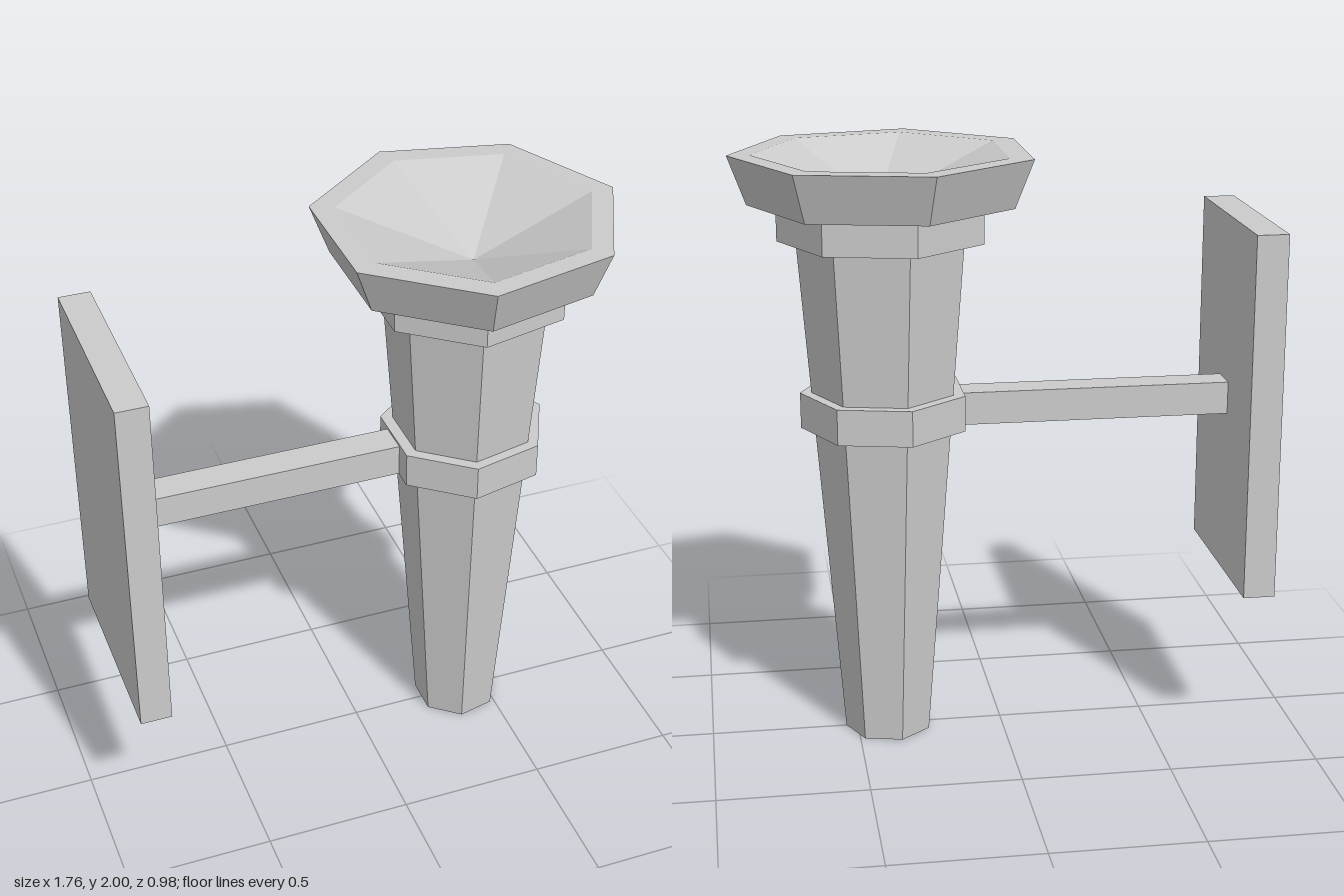
import * as THREE from 'three';

const AXIS_X = 0.399;
const SIDES = 7;

export function createModel() {
  const group = new THREE.Group();
  const material = new THREE.MeshStandardMaterial({ color: 0xcccccc, flatShading: true });

  function add(name, geometry, x, y, z) {
    const mesh = new THREE.Mesh(geometry, material);
    mesh.name = name;
    mesh.position.set(x, y, z);
    group.add(mesh);
  }

  // Seven-sided solid with a corner towards +x. Each section is centred by
  // its width, so its corners shift slightly in proportion to its radius.
  function addTurned(name, profile) {
    const points = profile.map(([r, y]) => new THREE.Vector2(r, y));
    const geometry = new THREE.LatheGeometry(points, SIDES, Math.PI / 2);
    const offset = (1 - Math.cos(Math.PI / SIDES)) / 2;
    const pos = geometry.attributes.position;
    for (let i = 0; i < pos.count; i++) {
      const r = Math.hypot(pos.getX(i), pos.getZ(i));
      pos.setX(i, pos.getX(i) - offset * r);
    }
    geometry.computeVertexNormals();
    add(name, geometry, AXIS_X, 0, 0);
  }

  // Torch body, listed from the bottom up
  addTurned('shaft', [[0, 0], [0.148, 0], [0.281, 1.72], [0, 1.72]]);
  addTurned('holderRing', [[0, 1.09], [0.281, 1.09], [0.281, 1.21], [0, 1.21]]);
  addTurned('collar', [[0, 1.72], [0.345, 1.72], [0.345, 1.84], [0.2, 1.84]]);

  // Flared cup with a flat rim and a shallow conical bowl
  addTurned('cup', [[0, 1.84], [0.442, 1.84], [0.503, 2], [0.425, 2], [0, 1.83]]);

  // Wall bracket
  add('wallPlate', new THREE.BoxGeometry(0.106, 1.23, 0.69), -0.825, 1.148, 0);
  add('bracketArm', new THREE.BoxGeometry(0.98, 0.11, 0.11), -0.29, 1.147, 0);

  return group;
}
